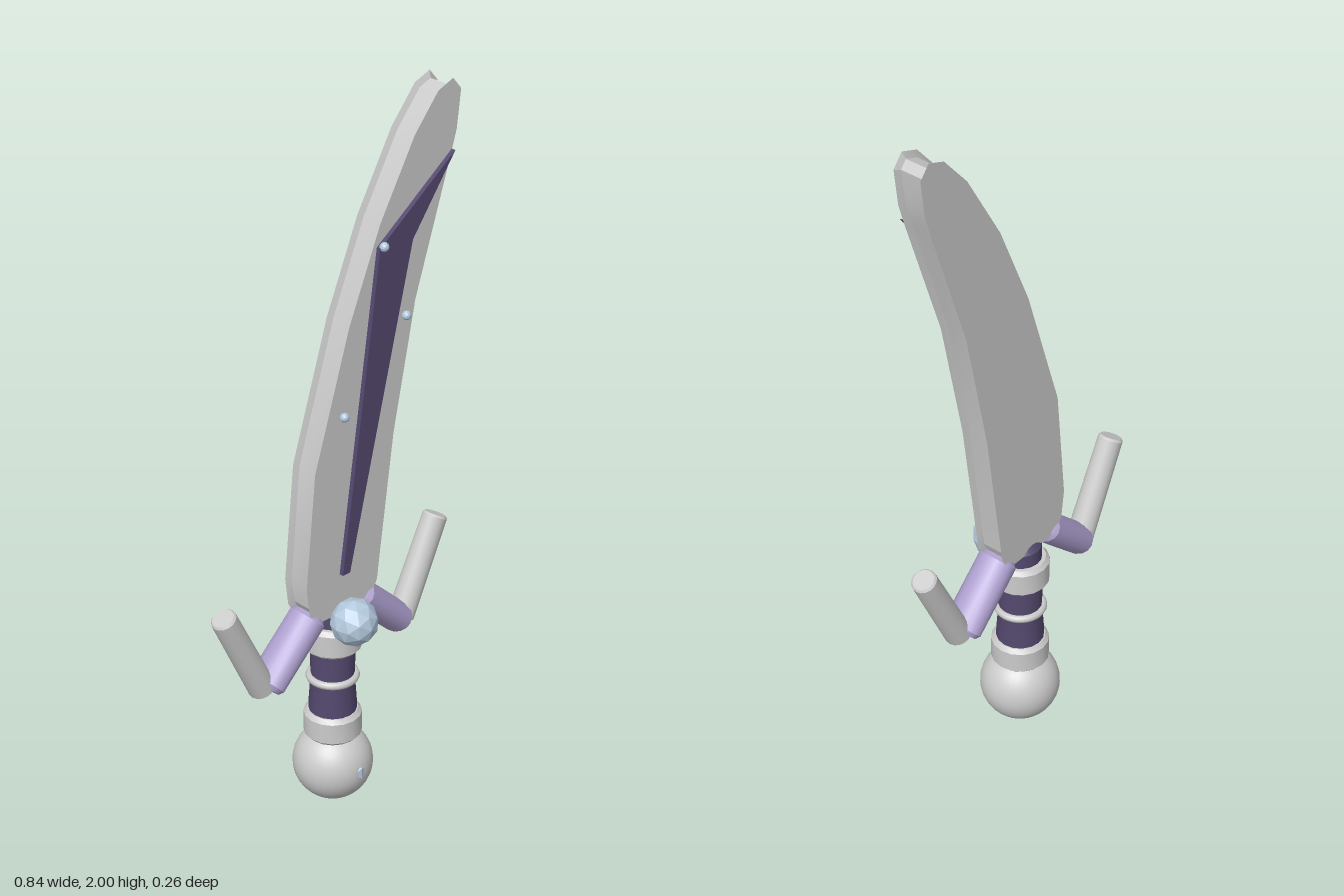
import * as THREE from 'three';
import { toCreasedNormals } from 'three/addons/utils/BufferGeometryUtils.js';

const Z = -0.018; // depth of the sword's central plane

const material = (color, flatShading = false) =>
  new THREE.MeshStandardMaterial({ color, flatShading });
const steel = material(0xcccccc);
const dark = material(0x54496f);
const lavender = material(0xaea0cf);
const gem = material(0xb4cade, true);

const outline = (pts) => new THREE.Shape(pts.map(([x, y]) => new THREE.Vector2(x, y)));

export function createModel() {
  const root = new THREE.Group();
  root.name = 'sword';

  const add = (name, geometry, mat, x = 0, y = 0, z = Z) => {
    const mesh = new THREE.Mesh(geometry, mat);
    mesh.name = name;
    mesh.position.set(x, y, z);
    root.add(mesh);
    return mesh;
  };
  const lathe = (pts, sides = 16) => toCreasedNormals(
    new THREE.LatheGeometry(pts.map(([r, y]) => new THREE.Vector2(r, y)), sides), 0.5);

  // Curved blade: two full-size faces with a recessed edge between them
  const bladeShape = outline([
    [-0.1, 0.6], [0.105, 0.6], [0.128, 0.65], [0.137, 0.72], [0.185, 1.07], [0.26, 1.43],
    [0.38, 1.79], [0.402, 1.86], [0.415, 1.965], [0.385, 2.0], [0.332, 1.98], [0.25, 1.885],
    [0.13, 1.68], [0.022, 1.43], [-0.1, 1.05], [-0.132, 0.72], [-0.122, 0.64],
  ]);
  const blade = new THREE.ExtrudeGeometry(bladeShape, {
    depth: 0.066, bevelEnabled: true, bevelThickness: 0.008, bevelSize: -0.016, bevelSegments: 1,
  });
  add('blade', toCreasedNormals(blade, 0.3), steel, 0, 0, -0.053);

  // Dark inlay and studs on the front face
  const inlayShape = outline([
    [-0.012, 0.72], [0.014, 0.72], [0.235, 1.61], [0.385, 1.81], [0.118, 1.62],
  ]);
  add('inlay', new THREE.ExtrudeGeometry(inlayShape, { depth: 0.014, bevelEnabled: false }),
    dark, 0, 0, 0.02);
  for (const [x, y] of [[0.13, 1.622], [0.213, 1.405], [-0.009, 1.19]]) {
    add('stud', new THREE.IcosahedronGeometry(0.013, 1), gem, x, y, 0.036);
  }

  // Pommel with its small set stone
  add('pommel', new THREE.SphereGeometry(0.111, 32, 20), steel, 0, 0.111);
  add('pommelStone', new THREE.IcosahedronGeometry(0.03, 0), gem, 0, 0.115, 0.07);

  // Grip, waisted slightly between the collars
  add('grip', lathe([
    [0, 0.2], [0.068, 0.2], [0.066, 0.3], [0.06, 0.385], [0.062, 0.48],
    [0.058, 0.6], [0.035, 0.63], [0, 0.63],
  ]), dark);
  const ring = add('gripRing', new THREE.TorusGeometry(0.063, 0.011, 8, 32), steel, 0, 0.386);
  ring.rotation.x = Math.PI / 2;

  // Chamfered collars at both ends of the grip
  for (const [name, low, high] of [['lowerCollar', 0.2, 0.282], ['upperCollar', 0.475, 0.56]]) {
    add(name, lathe([
      [0, low], [0.07, low], [0.08, low + 0.01], [0.08, high - 0.012], [0.07, high], [0, high],
    ]), steel);
  }

  // Large round gem in front of the guard
  add('guardGem', new THREE.IcosahedronGeometry(0.066, 1), gem, 0, 0.587, 0.064);

  // Mirrored guard arms and upswept prongs
  const between = (name, a, b, profile, mat, depthScale = 1) => {
    const from = new THREE.Vector3(a[0], a[1], Z);
    const dir = new THREE.Vector3(b[0], b[1], Z).sub(from);
    const length = dir.length();
    const mesh = add(name, lathe(profile(length)), mat, a[0], a[1]);
    mesh.rotation.z = Math.atan2(-dir.x, dir.y);
    mesh.scale.z = depthScale;
  };
  for (const [side, s] of [['left', 1], ['right', -1]]) {
    between(side + 'GuardArm', [s * 0.25, 0.458], [s * 0.085, 0.612], (l) => [
      [0, 0], [0.036, 0], [0.044, 0.012], [0.044, l - 0.012], [0.036, l], [0, l],
    ], lavender, 1.28);
    between(side + 'GuardProng', [s * 0.26, 0.46], [s * 0.392, 0.73], (l) => [
      [0, 0], [0.038, 0], [0.035, l - 0.006], [0.03, l], [0, l],
    ], steel);
  }

  return root;
}
